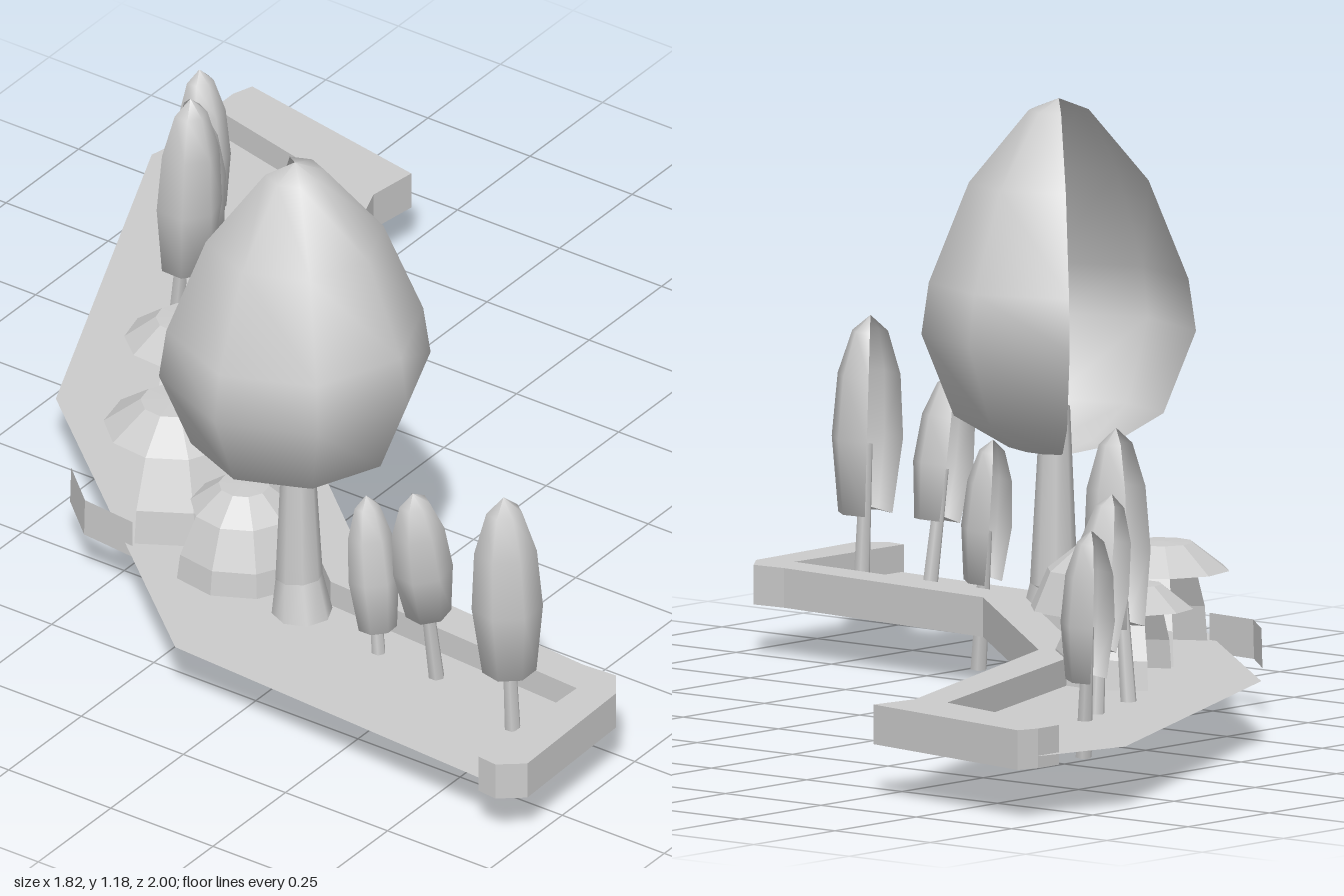
import * as THREE from 'three';

const rad = THREE.MathUtils.degToRad;
const smooth = new THREE.MeshStandardMaterial({ color: 0xcccccc, side: THREE.DoubleSide });
const flat = new THREE.MeshStandardMaterial({ color: 0xcccccc, side: THREE.DoubleSide, flatShading: true });

function add(parent, name, geometry, material) {
  const mesh = new THREE.Mesh(geometry, material);
  mesh.name = name;
  parent.add(mesh);
  return mesh;
}

// Plan outline given as [x, z]
const plan = pts => new THREE.Shape(pts.map(([x, z]) => new THREE.Vector2(x, -z)));

// Lathe shell covering only part of the turn, angles in degrees from +z towards +x
function shell(profile, segments, start, length) {
  const pts = profile.map(([r, y]) => new THREE.Vector2(r, y));
  return new THREE.LatheGeometry(pts, segments, rad(start), rad(length));
}

// Tapered round stem between two points
function stem(parent, name, from, to, r0, r1, sides) {
  const a = new THREE.Vector3(...from), b = new THREE.Vector3(...to);
  const dir = b.clone().sub(a);
  const mesh = add(parent, name, new THREE.CylinderGeometry(r1, r0, dir.length(), sides, 1, true), smooth);
  mesh.position.copy(a).add(b).multiplyScalar(0.5);
  mesh.quaternion.setFromUnitVectors(new THREE.Vector3(0, 1, 0), dir.normalize());
}

// Slim tree: leaning stem and a narrow crown left open at the back
function slimTree(parent, foot, base, top, r, turn) {
  const tree = new THREE.Group();
  tree.name = 'slimTree';
  parent.add(tree);
  const a = new THREE.Vector3(...base);
  const dir = new THREE.Vector3(...top).sub(a);
  const h = dir.length();
  const profile = [[0, 0.04], [0.76, 0], [1, 0.38], [0.88, 0.7], [0.5, 0.92], [0, 1]]
    .map(([s, t]) => [s * r, t * h]);
  const crown = add(tree, 'slimCrown', shell(profile, 5, turn - 130, 260), smooth);
  crown.position.copy(a);
  crown.quaternion.setFromUnitVectors(new THREE.Vector3(0, 1, 0), dir.normalize());
  const inside = a.clone().addScaledVector(dir, h * 0.35);
  stem(tree, 'slimStem', foot, inside.toArray(), 0.017, 0.012, 6);
}

// Faceted shrub: full cap, lower walls missing at the back
function shrub(parent, x, z, r, top, start, count) {
  const group = new THREE.Group();
  group.name = 'shrub';
  group.position.set(x, 0.1, z);
  parent.add(group);
  const h = top - 0.1;
  add(group, 'shrubCap', shell([[0.7 * r, 0.77 * h], [0.33 * r, 0.99 * h], [0, h]], 10, start, 360), flat);
  add(group, 'shrubWall', shell([[r, 0], [0.93 * r, 0.38 * h], [0.7 * r, 0.77 * h]], count, start, 36 * count), flat);
  return group;
}

export function createModel() {
  const model = new THREE.Group();
  model.name = 'gardenBed';

  // Thin soil sheet
  const soil = add(model, 'soil', new THREE.ShapeGeometry(plan([
    [0.65, -1], [0.86, -0.955], [0.76, -0.54], [0.02, -0.29], [-0.49, 0.3], [-0.54, 0.95],
    [-0.9, 0.94], [-0.845, 0.12], [-0.215, -0.62],
  ])), smooth);
  soil.rotation.x = -Math.PI / 2;
  soil.position.y = 0.125;

  // Kerb along the front and both ends
  const kerb = add(model, 'kerb', new THREE.ExtrudeGeometry(plan([
    [0.86, -0.95], [0.905, -0.935], [0.82, -0.485], [0.71, -0.5], [0.03, -0.245], [-0.45, 0.31],
    [-0.5, 0.875], [-0.495, 0.95], [-0.55, 0.99], [-0.87, 1], [-0.91, 0.95], [-0.905, 0.905],
    [-0.58, 0.915], [-0.535, 0.28], [0, -0.335], [0.705, -0.58], [0.795, -0.95],
  ]), { depth: 0.08, bevelEnabled: false }), flat);
  kerb.rotation.x = -Math.PI / 2;
  kerb.position.y = 0.1;

  // Large tree: eight-sided crown with two sides open at the back
  const tree = new THREE.Group();
  tree.name = 'largeTree';
  model.add(tree);
  const crown = add(tree, 'largeCrown', shell([
    [0, 0.455], [0.1, 0.475], [0.21, 0.54], [0.275, 0.705], [0.26, 0.81], [0.18, 1.01], [0.06, 1.155], [0, 1.178],
  ], 6, -135, 270), smooth);
  crown.position.set(-0.595, 0, 0.235);
  stem(tree, 'trunkFlare', [-0.59, 0.05, 0.255], [-0.58, 0.2, 0.235], 0.075, 0.048, 8);
  stem(tree, 'trunk', [-0.58, 0.2, 0.235], [-0.578, 0.56, 0.23], 0.048, 0.03, 8);

  // Slim trees: foot, crown base, crown top, radius, facing
  const slim = [
    [[-0.71, 0.13, 0.85], [-0.715, 0.27, 0.845], [-0.72, 0.67, 0.835], 0.073, 0],
    [[-0.63, 0.1, 0.61], [-0.65, 0.285, 0.6], [-0.695, 0.58, 0.595], 0.062, 5],
    [[-0.63, 0, 0.475], [-0.62, 0.18, 0.455], [-0.61, 0.47, 0.42], 0.052, 5],
    [[0.17, 0.12, -0.6], [0.16, 0.27, -0.57], [0.15, 0.67, -0.55], 0.07, 15],
    [[0.34, 0.12, -0.66], [0.33, 0.25, -0.65], [0.28, 0.56, -0.65], 0.06, 15],
    [[0.42, 0.05, -0.695], [0.44, 0.21, -0.72], [0.455, 0.515, -0.745], 0.056, 10],
  ];
  for (const t of slim) slimTree(model, ...t);

  // Row of shrubs
  shrub(model, -0.495, 0.04, 0.155, 0.305, -117, 7);
  const middle = shrub(model, -0.38, -0.215, 0.2, 0.352, -78, 6);
  shrub(model, -0.07, -0.41, 0.17, 0.32, -76, 6);

  // Leftover wall strip behind the middle shrub
  add(middle, 'wallStrip', shell([[0.207, 0], [0.205, 0.08]], 2, -150, 72), flat);

  return model;
}
